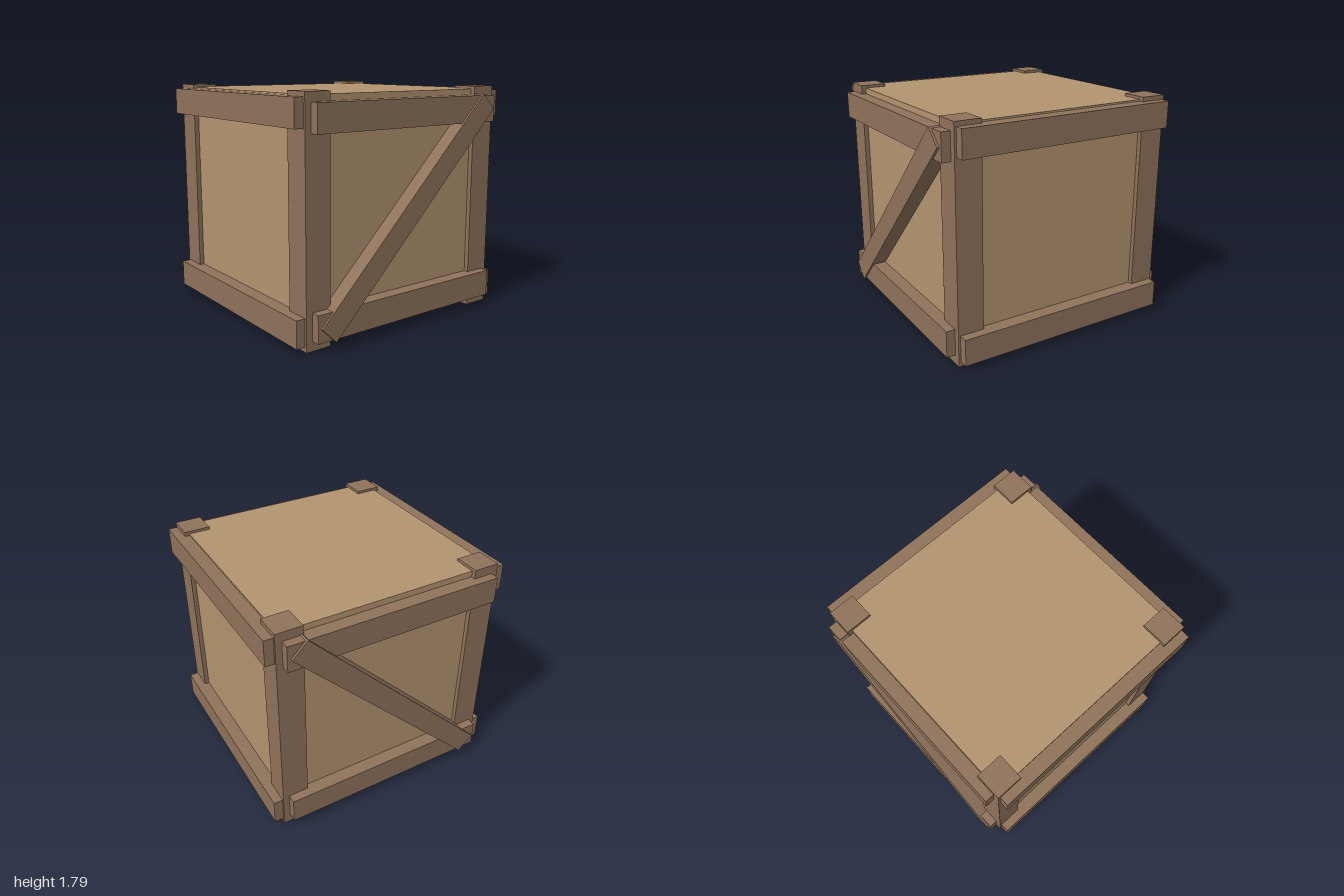
import * as THREE from 'three';

export function createModel() {
  const crate = new THREE.Group();
  crate.name = 'crate';

  const panelWood = new THREE.MeshStandardMaterial({ color: 0xb3946f });
  panelWood.name = 'light panel wood';
  const trimWood = new THREE.MeshStandardMaterial({ color: 0x8f725b });
  trimWood.name = 'dark trim wood';

  function addBox(name, size, position, material = trimWood) {
    const mesh = new THREE.Mesh(new THREE.BoxGeometry(...size), material);
    mesh.name = name;
    mesh.position.set(...position);
    crate.add(mesh);
    return mesh;
  }

  // Inner box showing as the panels
  addBox('panels', [1.75, 1.75, 1.75], [0, 0.897, 0], panelWood);

  // Corner posts
  for (const x of [-1, 1]) {
    for (const z of [-1, 1]) {
      addBox('cornerPost', [0.208, 1.794, 0.208], [x * 0.808, 0.897, z * 0.808]);
    }
  }

  for (const side of [-1, 1]) {
    // Front and back rails
    for (const y of [0.143, 1.655]) {
      addBox(side > 0 ? 'frontRail' : 'backRail', [1.79, 0.208, 0.208], [0, y, side * 0.88]);
    }
    // Side rails, set slightly closer together
    for (const y of [0.178, 1.62]) {
      addBox(side > 0 ? 'leftRail' : 'rightRail', [0.208, 0.208, 1.725], [side * 0.878, y, 0]);
    }
    // Diagonal braces, rising from front to back on both sides
    const brace = addBox(side > 0 ? 'leftBrace' : 'rightBrace', [0.17, 0.17, 2.2], [side * 0.915, 0.897, 0]);
    brace.rotation.x = Math.PI / 4;
  }

  return crate;
}
